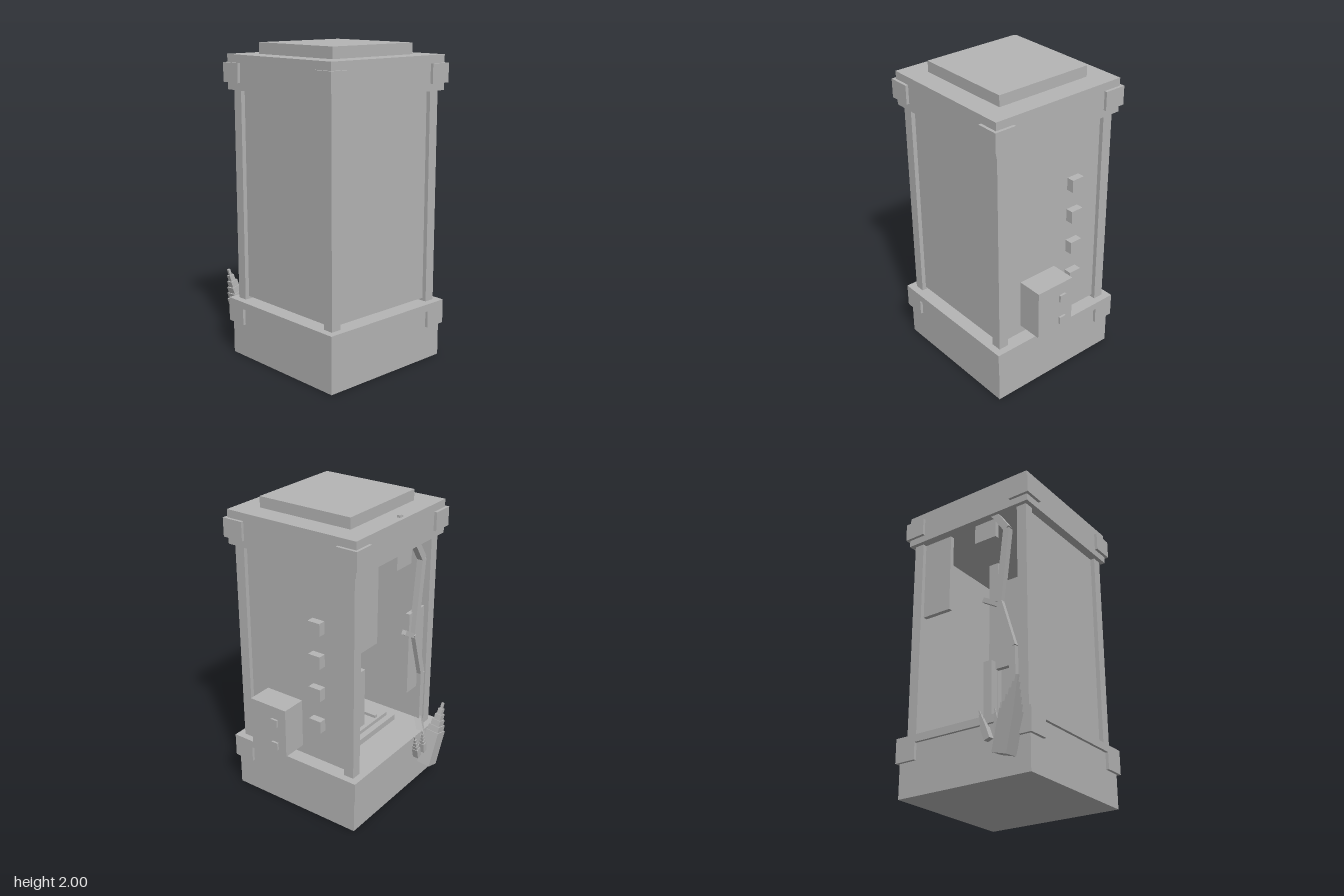
import * as THREE from 'three';

const grey = new THREE.MeshStandardMaterial({ color: 0xb4b4b4 });
grey.name = 'plain grey';

// Box given by its lowest and highest corner
function block(parent, name, [x0, y0, z0], [x1, y1, z1]) {
  const m = new THREE.Mesh(new THREE.BoxGeometry(x1 - x0, y1 - y0, z1 - z0), grey);
  m.position.set((x0 + x1) / 2, (y0 + y1) / 2, (z0 + z1) / 2);
  m.name = name;
  parent.add(m);
  return m;
}

// Square bar between two points
function bar(parent, name, a, b, w, d) {
  const p = new THREE.Vector3(...a), q = new THREE.Vector3(...b);
  const dir = q.clone().sub(p);
  const m = new THREE.Mesh(new THREE.BoxGeometry(w, dir.length(), d), grey);
  m.position.copy(p).add(q).multiplyScalar(0.5);
  m.quaternion.setFromUnitVectors(new THREE.Vector3(0, 1, 0), dir.normalize());
  m.name = name;
  parent.add(m);
}

// Leaning stack of shrinking blocks that ends in a point
function shard(parent, name, base, tip, w, d, body, steps) {
  const g = new THREE.Group();
  g.name = name;
  const a = new THREE.Vector3(...base), b = new THREE.Vector3(...tip);
  const at = t => a.clone().lerp(b, t).toArray();
  bar(g, 'shardBody', at(0), at(body), w, d);
  for (let i = 0; i < steps; i++) {
    const k = 1 - (i + 1) / (steps + 1);
    const t0 = body + (1 - body) * i / steps, t1 = body + (1 - body) * (i + 1) / steps;
    bar(g, 'shardStep', at(t0), at(t1), w * k, d * k);
  }
  parent.add(g);
}

export function createModel() {
  const model = new THREE.Group();
  model.name = 'displayCase';

  // Everything of the case is centred on this axis
  const cx = -0.053, cz = 0.057;
  const centred = (name, h, y0, y1) =>
    block(model, name, [cx - h, y0, cz - h], [cx + h, y1, cz + h]);

  centred('base', 0.468, 0, 0.34);
  centred('baseRim', 0.487, 0.325, 0.372);
  centred('roof', 0.468, 1.714, 1.93);
  centred('roofPlate', 0.33, 1.93, 2);

  // Corner brackets and posts
  for (const sx of [-1, 1]) for (const sz of [-1, 1]) {
    const corner = (name, inner, outer, y0, y1) => {
      const xs = [cx + sx * inner, cx + sx * outer].sort((a, b) => a - b);
      const zs = [cz + sz * inner, cz + sz * outer].sort((a, b) => a - b);
      block(model, name, [xs[0], y0, zs[0]], [xs[1], y1, zs[1]]);
    };
    corner('baseBracket', 0.343, 0.487, 0.217, 0.372);
    corner('roofBracket', 0.343, 0.487, 1.76, 1.88);
    corner('cornerPost', 0.373, 0.441, 0.37, 1.716);
  }

  // Front and side walls; the back is broken open
  const y0 = 0.39, y1 = 1.716, i = 0.375, w0 = 0.385, w1 = 0.413;
  block(model, 'frontWall', [cx - i, y0, cz + w0], [cx + i, y1, cz + w1]);
  block(model, 'leftWall', [cx + w0, y0, cz - i], [cx + w1, y1, cz + i]);
  block(model, 'rightWall', [cx - w1, y0, cz - i], [cx - w0, y1, cz + i]);
  const zb = cz - w1;
  block(model, 'backWallRemnant', [0.112, 1.185, zb], [0.325, y1, zb + 0.03]);
  block(model, 'backWallRemnant', [-0.245, 1.585, zb], [-0.085, y1, zb + 0.03]);
  block(model, 'backWallRemnant', [-0.42, 0.68, zb], [-0.247, 1.24, zb + 0.03]);

  // Wall studs and control box on the left side
  for (const y of [0.662, 0.886, 1.108, 1.325])
    block(model, 'wallStud', [0.35, y - 0.041, -0.15], [0.41, y + 0.041, -0.063]);
  block(model, 'controlBox', [0.35, 0.445, 0.03], [0.527, 0.773, 0.305]);
  block(model, 'controlBoxFoot', [0.35, 0.417, 0.09], [0.41, 0.447, 0.245]);
  for (const y of [0.5, 0.665])
    block(model, 'controlButton', [0.52, y - 0.025, 0.09], [0.541, y + 0.025, 0.137]);

  // Pedestal and stepped column inside
  centred('pedestal', 0.275, 0.39, 0.43);
  centred('pedestalStep', 0.235, 0.43, 0.455);
  for (const s of [-1, 1]) {
    block(model, 'pedestalRail', [cx + s * 0.13 - 0.012, 0.45, cz - 0.22], [cx + s * 0.13 + 0.012, 0.475, cz + 0.22]);
  }
  block(model, 'columnFoot', [-0.065, 0.45, -0.15], [-0.005, 0.865, -0.09]);
  [[0.1, 0.62], [0.08, 0.86], [0.06, 1.08]].forEach(([h, top]) => centred('columnStep', h, 0.45, top));
  block(model, 'column', [-0.05, 0.45, -0.06], [0.02, 1.6, 0.0]);
  for (let k = 0; k < 3; k++)
    block(model, 'columnLedge', [-0.17 + k * 0.03, 1.1 + k * 0.05, 0.02], [-0.05, 1.15 + k * 0.05, 0.08]);

  // Crooked root hanging down the open back
  const path = [[-0.06, 1.93], [-0.265, 1.71], [-0.347, 1.59], [-0.288, 1.1], [-0.385, 0.78], [-0.385, 0.44], [-0.34, 0.33]];
  for (let k = 0; k + 1 < path.length; k++) {
    const z = p => (p[1] < 0.4 ? -0.43 : -0.367);
    const a = path[k], b = path[k + 1];
    bar(model, 'root', [...a, z(a)], [...b, z(b)], 0.044, 0.04);
  }
  bar(model, 'rootTwig', [-0.29, 1.08, -0.367], [-0.17, 1.15, -0.367], 0.03, 0.03);
  block(model, 'rootTip', [-0.07, 1.92, -0.386], [-0.052, 1.945, -0.364]);

  // Pointed shards at the foot of the root
  shard(model, 'largeShard', [-0.375, 0.11, -0.455], [-0.495, 0.535, -0.492], 0.1, 0.095, 0.55, 5);
  shard(model, 'middleShard', [-0.34, 0.22, -0.445], [-0.31, 0.39, -0.45], 0.035, 0.035, 0.4, 4);
  shard(model, 'smallShard', [-0.265, 0.22, -0.445], [-0.205, 0.4, -0.455], 0.04, 0.04, 0.4, 4);

  return model;
}
